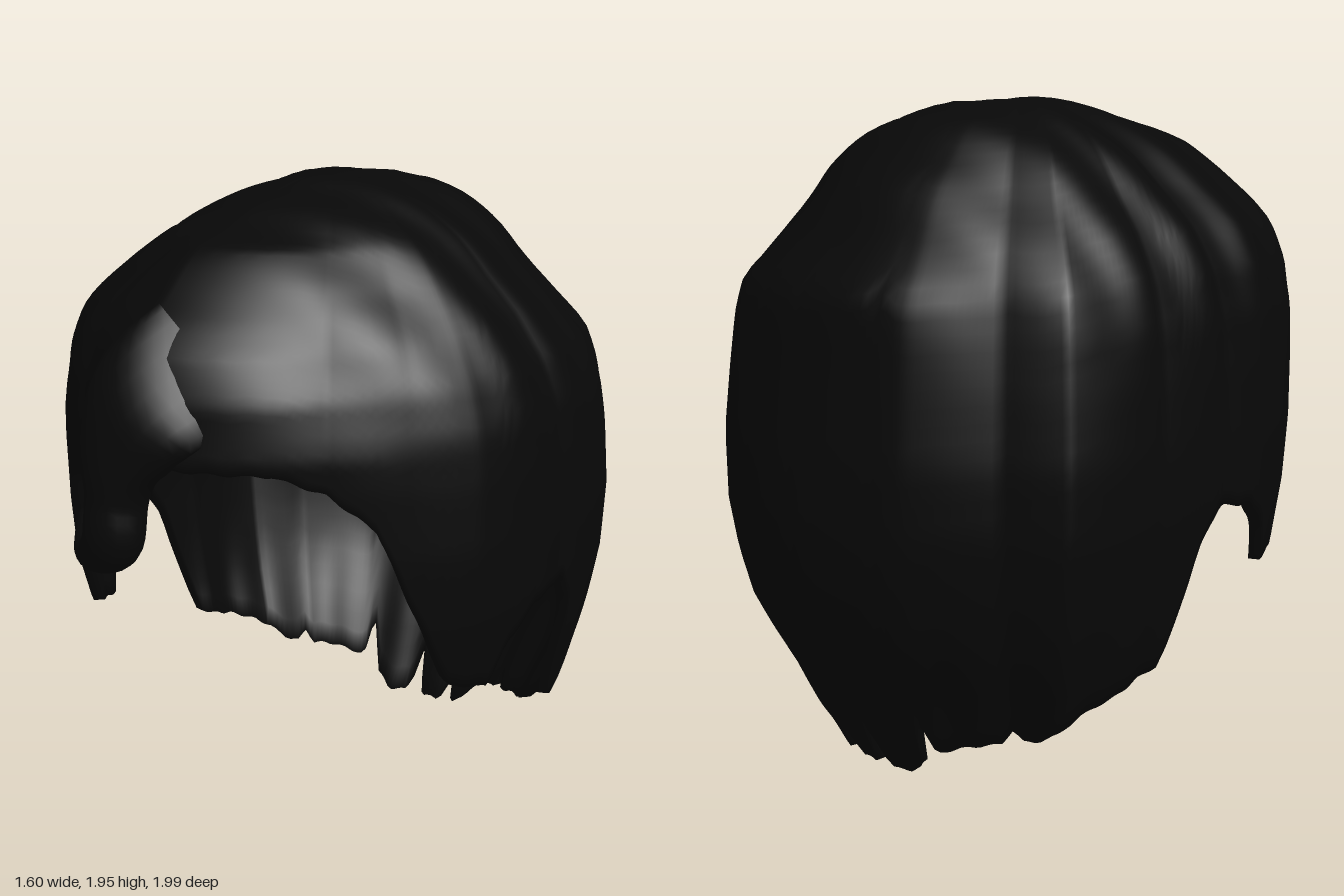
import * as THREE from 'three';

// Piecewise interpolation through [key, value] pairs sorted by key
function lookup(pairs, k, power = 1) {
  if (k <= pairs[0][0]) return pairs[0][1];
  for (let i = 1; i < pairs.length; i++) {
    const [k0, v0] = pairs[i - 1], [k1, v1] = pairs[i];
    if (k <= k1) {
      const t = (k - k0) / (k1 - k0);
      return Math.pow(v0 ** power + (v1 ** power - v0 ** power) * t, 1 / power);
    }
  }
  return pairs[pairs.length - 1][1];
}

const TOP = 1.955;
const THICKNESS = 0.035;
// Vertical profiles: [height, share of the full radius]
const sideProfile = [[0, 0.66], [0.2, 0.78], [0.4, 0.88], [0.6, 0.94], [0.8, 0.985], [1, 1], [1.2, 0.985],
  [1.35, 0.96], [1.48, 0.9], [1.6, 0.8], [1.7, 0.67], [1.8, 0.54], [1.9, 0.33], [TOP, 0]];
const frontProfile = [[0.6, 0.92], [1, 0.96], [1.3, 1], [1.45, 0.97], [1.57, 0.9], [1.65, 0.83],
  [1.74, 0.73], [1.82, 0.62], [1.88, 0.42], [1.93, 0.2], [TOP, 0]];
const backProfile = [[0, 0.65], [0.27, 0.79], [0.5, 0.93], [0.65, 0.975], [0.8, 1], [1, 1], [1.2, 0.975],
  [1.45, 0.94], [1.6, 0.82], [1.75, 0.69], [1.85, 0.56], [1.9, 0.46], [1.94, 0.28], [TOP, 0]];

// Outline seen from above: [degrees from the front, radius]
const outline = [[-180, 0.99], [-168, 0.985], [-157, 0.98], [-141, 0.93], [-130, 0.97], [-110, 0.84],
  [-90, 0.79], [-75, 0.81], [-50, 0.835], [-39, 0.845], [-25, 0.86], [-8, 0.94], [0, 0.91], [19, 0.84],
  [30, 0.8], [48, 0.79], [62, 0.81], [75, 0.8], [90, 0.785], [105, 0.82], [116, 0.85], [129, 0.88],
  [136, 0.91], [147, 0.93], [160, 0.97], [180, 0.99]];

// Hem height on either side, with sideburn and ear gap
const hem = [[0, 1.28], [20, 1.27], [30, 1.21], [40, 1.1], [48, 0.86], [57, 0.6], [68, 0.57],
  [72, 0.69], [80, 0.79], [92, 0.82], [98, 0.71], [102, 0.5], [105, 0.35], [118, 0.29], [125, 0.25],
  [134, 0.17], [150, 0.14], [160, 0.1], [168, 0.01], [180, 0.01]];
// Splits between the strands at the nape: [degrees, depth]
const splits = [[-161, 0.14], [-177, 0.17], [171, 0.1], [-140, 0.04], [150, 0.04]];

function hemHeight(deg) {
  let y = lookup(hem, Math.abs(deg));
  for (const [at, depth] of splits) y += depth * Math.max(0, 1 - Math.abs(deg - at) / 2.5);
  return y + 0.004 * Math.sin(deg * 0.9);
}

// Point on the hair at an angle and height
function hairPoint(deg, y, inset, drop) {
  const a = THREE.MathUtils.degToRad(deg), c = Math.cos(a), s = Math.sin(a);
  const side = lookup(sideProfile, y, 2);
  const end = lookup(c > 0 ? frontProfile : backProfile, y, 2);
  // hair is combed over, fuller at the front right than at the back left
  const comb = 0.05 * Math.cos(a + Math.PI / 4) ** 3 * Math.exp(-(((y - 1.62) / 0.17) ** 2));
  const f = side + (end - side) * c * c + comb;
  const r = lookup(outline, deg) * f;
  // waves across the crown, folds down the nape
  const wave = 0.012 * Math.sin(24 * r * c + 5 * r * s) * THREE.MathUtils.smoothstep(y, 1.2, 1.6);
  const folds = 0.008 * Math.sin(24 * a) * THREE.MathUtils.smoothstep(-y, -0.7, -0.3);
  const q = Math.max(0, r * (1 + wave + folds) - inset);
  return [q * s, y - drop + wave * 0.7 * (1 - Math.min(1, f)), q * c];
}

// Indexed geometry from rings of equal length
function ringGeometry(pos, rings, sides) {
  const idx = [];
  for (let j = 0; j < rings - 1; j++) {
    for (let i = 0; i < sides; i++) {
      const n = (i + 1) % sides, a = j * sides + i, b = j * sides + n;
      idx.push(a, a + sides, b, b, a + sides, b + sides);
    }
  }
  const g = new THREE.BufferGeometry();
  g.setAttribute('position', new THREE.Float32BufferAttribute(pos, 3));
  g.setIndex(idx);
  g.computeVertexNormals();
  return g;
}

// Hollow cap: down the outside to the hem, then up the inside
function capGeometry() {
  const cols = 288, rows = 44, pos = [];
  for (let j = 0; j <= 2 * rows + 1; j++) {
    const inside = j > rows;
    const t = (inside ? 2 * rows + 1 - j : j) / rows;
    for (let i = 0; i < cols; i++) {
      const deg = -180 + (360 * i) / cols;
      const y = TOP - (TOP - hemHeight(deg)) * Math.pow(t, 1.6);
      pos.push(...hairPoint(deg, y, inside ? THICKNESS : 0, inside ? THICKNESS * (1 - t) : 0));
    }
  }
  return ringGeometry(pos, 2 * rows + 2, cols);
}

// Tapered strand: each node is [x, y, z, half width, half depth]
function strandGeometry(nodes, segs = 44, sides = 18) {
  const path = new THREE.CatmullRomCurve3(nodes.map(([x, y, z]) => new THREE.Vector3(x, y, z)));
  const sizes = new THREE.CatmullRomCurve3(nodes.map((n) => new THREE.Vector3(n[3], n[4], 0)));
  const pos = [];
  for (let j = 0; j <= segs; j++) {
    const t = j / segs, p = path.getPoint(t), size = sizes.getPoint(t), d = path.getTangent(t);
    const across = new THREE.Vector3(-d.y, d.x, 0).normalize();
    const deep = new THREE.Vector3().crossVectors(across, d).normalize();
    for (let i = 0; i < sides; i++) {
      const a = (i / sides) * Math.PI * 2;
      const v = p.clone().addScaledVector(across, Math.sin(a) * size.x).addScaledVector(deep, Math.cos(a) * size.y);
      pos.push(v.x, v.y, v.z);
    }
  }
  return ringGeometry(pos, segs + 1, sides);
}

export function createModel() {
  const black = new THREE.MeshStandardMaterial({ color: 0x080808, side: THREE.DoubleSide });
  black.name = 'black hair';
  const group = new THREE.Group();
  group.name = 'hair';
  const add = (name, geometry) => {
    const mesh = new THREE.Mesh(geometry, black);
    mesh.name = name;
    group.add(mesh);
  };

  add('hairCap', capGeometry());

  // Curl hanging over the forehead, hooking to the right and back
  add('foreheadCurl', strandGeometry([
    [0.06, 1.56, 0.76, 0.2, 0.03], [-0.05, 1.44, 0.87, 0.19, 0.07], [-0.12, 1.3, 0.9, 0.14, 0.085],
    [-0.14, 1.17, 0.91, 0.09, 0.085], [-0.15, 1.06, 0.92, 0.09, 0.08], [-0.22, 1.005, 0.88, 0.062, 0.08],
    [-0.3, 1.03, 0.81, 0.055, 0.06], [-0.35, 1.05, 0.77, 0.035, 0.035], [-0.36, 1.055, 0.76, 0.004, 0.004]]));
  return group;
}
